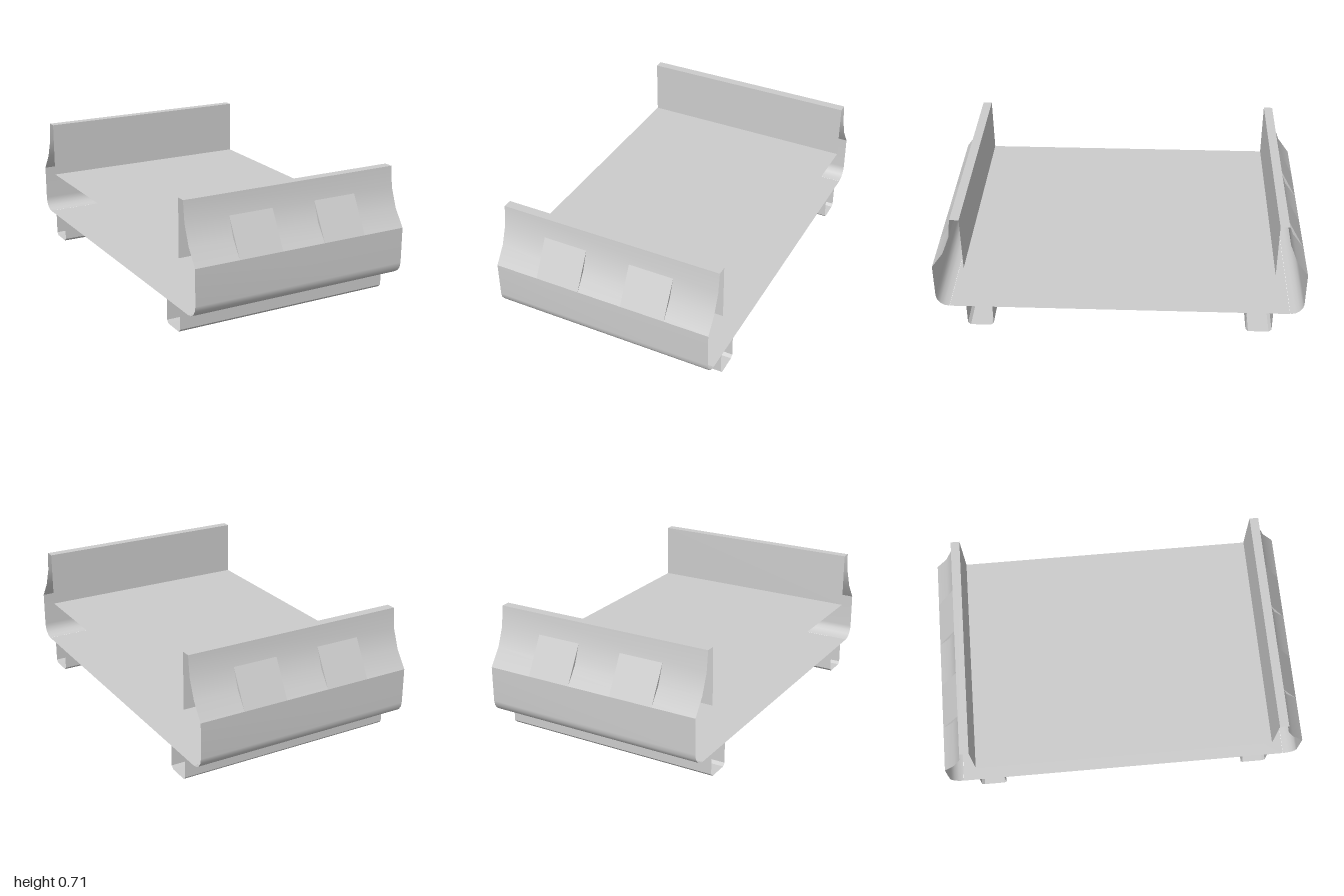
import * as THREE from 'three';

const HALF_W = 0.622;
const material = new THREE.MeshStandardMaterial({ color: 0xcccccc, side: THREE.DoubleSide });

// Open sheet: a (z, y) profile swept across the full width, smooth along the profile
function sheet(name, profile) {
  const positions = [], index = [];
  profile.forEach(([z, y], i) => {
    positions.push(-HALF_W, y, z, HALF_W, y, z);
    if (i) {
      const a = 2 * (i - 1);
      index.push(a, a + 2, a + 3, a, a + 3, a + 1);
    }
  });
  const geometry = new THREE.BufferGeometry();
  geometry.setAttribute('position', new THREE.Float32BufferAttribute(positions, 3));
  geometry.setIndex(index);
  geometry.computeVertexNormals();
  const mesh = new THREE.Mesh(geometry, material);
  mesh.name = name;
  return mesh;
}

// Points on an arc in the (z, y) plane
function arc(cz, cy, r, from, to, steps) {
  return Array.from({ length: steps + 1 }, (_, i) => {
    const t = from + (to - from) * i / steps;
    return [cz + r * Math.cos(t), cy + r * Math.sin(t)];
  });
}

const DECK_Y = 0.395, TOP_Y = 0.707, BASE_Y = 0.13;
const RIM_IN = 0.83, RIM_OUT = 0.88;
const CORNER = 0.07;

function createEnd() {
  const end = new THREE.Group();

  // Upright rim and its concave outer face
  const R = 0.46;
  const cove = arc(RIM_OUT + R, TOP_Y, R, Math.PI, Math.PI + 0.742, 3);
  const lip = cove[3];
  end.add(
    sheet('rimInnerWall', [[RIM_IN, DECK_Y], [RIM_IN, TOP_Y]]),
    sheet('rimTop', [[RIM_IN, TOP_Y], [RIM_OUT, TOP_Y]]),
    sheet('rimCove', cove),
    sheet('endWall', [lip, ...arc(lip[0] - CORNER, BASE_Y + CORNER, CORNER, 0, -Math.PI / 2, 4)])
  );

  // Flat pads filling the lower part of the cove
  const shape = new THREE.Shape(cove.slice(1).map(([z, y]) => new THREE.Vector2(z, y)));
  const padGeometry = new THREE.ExtrudeGeometry(shape, { depth: 0.25, bevelEnabled: false });
  for (const x of [-0.25, 0.25]) {
    const pad = new THREE.Mesh(padGeometry, material);
    pad.name = 'covePad';
    pad.rotation.y = -Math.PI / 2;
    pad.position.x = x + 0.125;
    end.add(pad);
  }

  // Channel-shaped foot with chamfered lower edges
  const zo = 0.838, zi = 0.695, c = 0.015;
  const foot = [[zo, BASE_Y], [zo, c], [zo - c, 0], [zi + c, 0], [zi, c], [zi, BASE_Y]];
  for (let i = 1; i < foot.length; i++) {
    end.add(sheet('footChannel', [foot[i - 1], foot[i]]));
  }
  return end;
}

export function createModel() {
  const model = new THREE.Group();
  model.name = 'pallet';

  // Load deck and underside
  model.add(
    sheet('deck', [[-RIM_IN, DECK_Y], [RIM_IN, DECK_Y]]),
    sheet('underside', [[1 - CORNER, BASE_Y], [CORNER - 1, BASE_Y]])
  );

  // Matching ends
  for (const [name, turn] of [['frontEnd', 0], ['backEnd', Math.PI]]) {
    const end = createEnd();
    end.name = name;
    end.rotation.y = turn;
    model.add(end);
  }
  return model;
}
